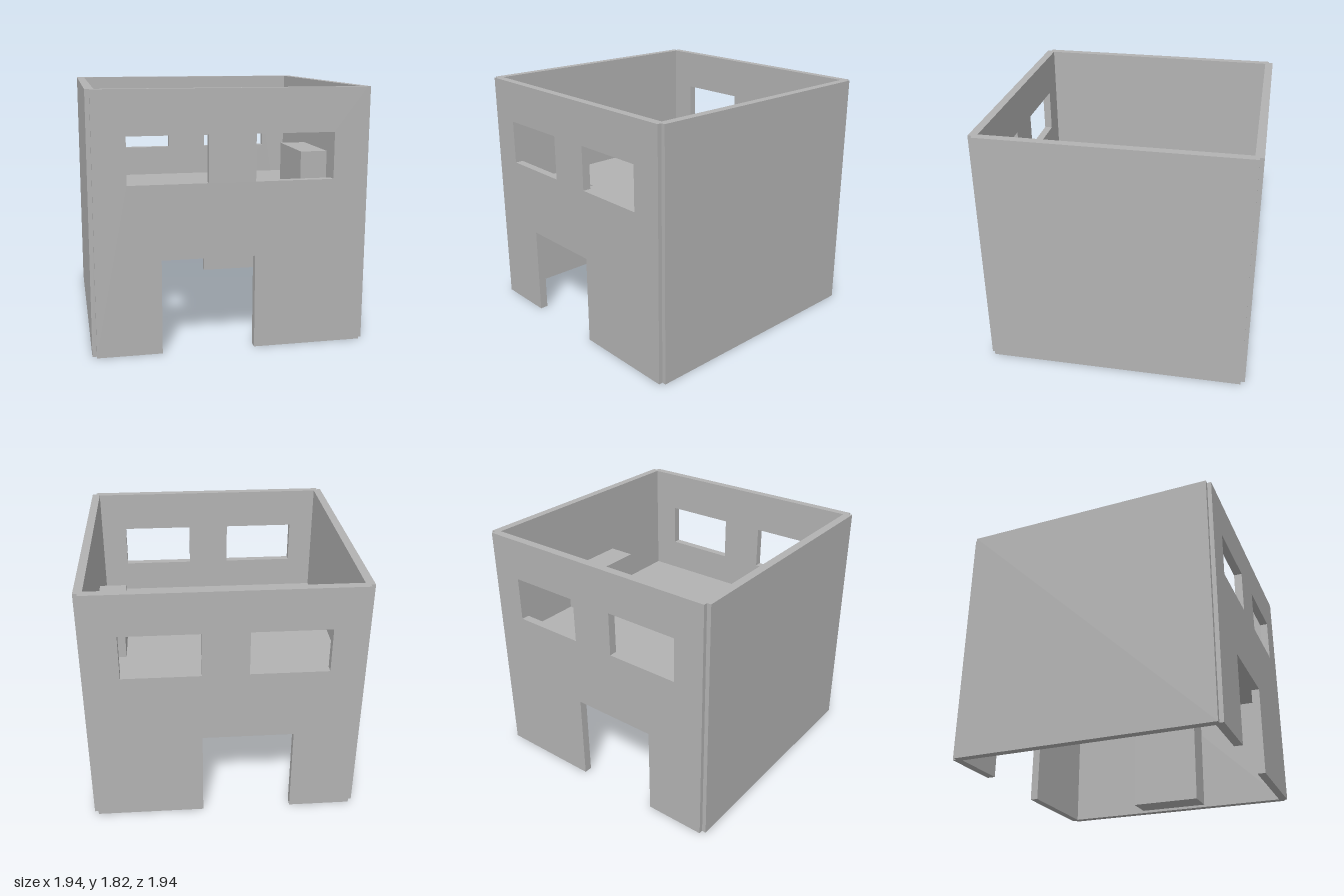
import * as THREE from 'three';

const HEIGHT = 1.815;
const HALF = 0.94;   // wall centrelines
const T = 0.06;      // panel thickness

const grey = new THREE.MeshStandardMaterial({ color: 0xb2b2b2 });
grey.name = 'plain grey';

function rectangle(x0, y0, x1, y1, Type = THREE.Shape) {
  return new Type([[x0, y0], [x1, y0], [x1, y1], [x0, y1]].map(p => new THREE.Vector2(...p)));
}

// Panel cut from a shape, centred on its own thickness
function panel(name, shape) {
  const geometry = new THREE.ExtrudeGeometry(shape, { depth: T, bevelEnabled: false });
  geometry.translate(0, 0, -T / 2);
  const mesh = new THREE.Mesh(geometry, grey);
  mesh.name = name;
  return mesh;
}

// Wall outline with a doorway notch and two windows
function openWallShape() {
  const shape = new THREE.Shape([
    [-HALF, 0], [-0.49, 0], [-0.49, 0.665], [0.16, 0.665], [0.16, 0],
    [HALF, 0], [HALF, HEIGHT], [-HALF, HEIGHT],
  ].map(p => new THREE.Vector2(...p)));
  shape.holes.push(
    rectangle(-0.715, 1.185, -0.165, 1.51, THREE.Path),
    rectangle(0.16, 1.185, 0.71, 1.51, THREE.Path),
  );
  return shape;
}

export function createModel() {
  const model = new THREE.Group();
  model.name = 'house';

  // Front and back walls, openings aligned
  for (const [name, z] of [['frontWall', HALF], ['backWall', -HALF]]) {
    const wall = panel(name, openWallShape());
    wall.position.z = z;
    model.add(wall);
  }

  // Solid side walls
  for (const [name, x] of [['leftWall', HALF], ['rightWall', -HALF]]) {
    const wall = panel(name, rectangle(-HALF, 0, HALF, HEIGHT));
    wall.rotation.y = Math.PI / 2;
    wall.position.x = x;
    model.add(wall);
  }

  // Upper floor with a square hatch (shape y becomes -z)
  const floorShape = rectangle(-HALF, -HALF, HALF, HALF);
  floorShape.holes.push(rectangle(-0.86, -0.855, -0.445, -0.44, THREE.Path));
  const floor = panel('upperFloor', floorShape);
  floor.rotation.x = -Math.PI / 2;
  floor.position.y = HEIGHT / 2;
  model.add(floor);

  // Column against the left wall, rising through the floor
  const column = new THREE.Mesh(new THREE.BoxGeometry(0.21, 1.26, 0.55), grey);
  column.name = 'column';
  column.position.set(0.805, 0.65, 0);
  model.add(column);

  return model;
}
